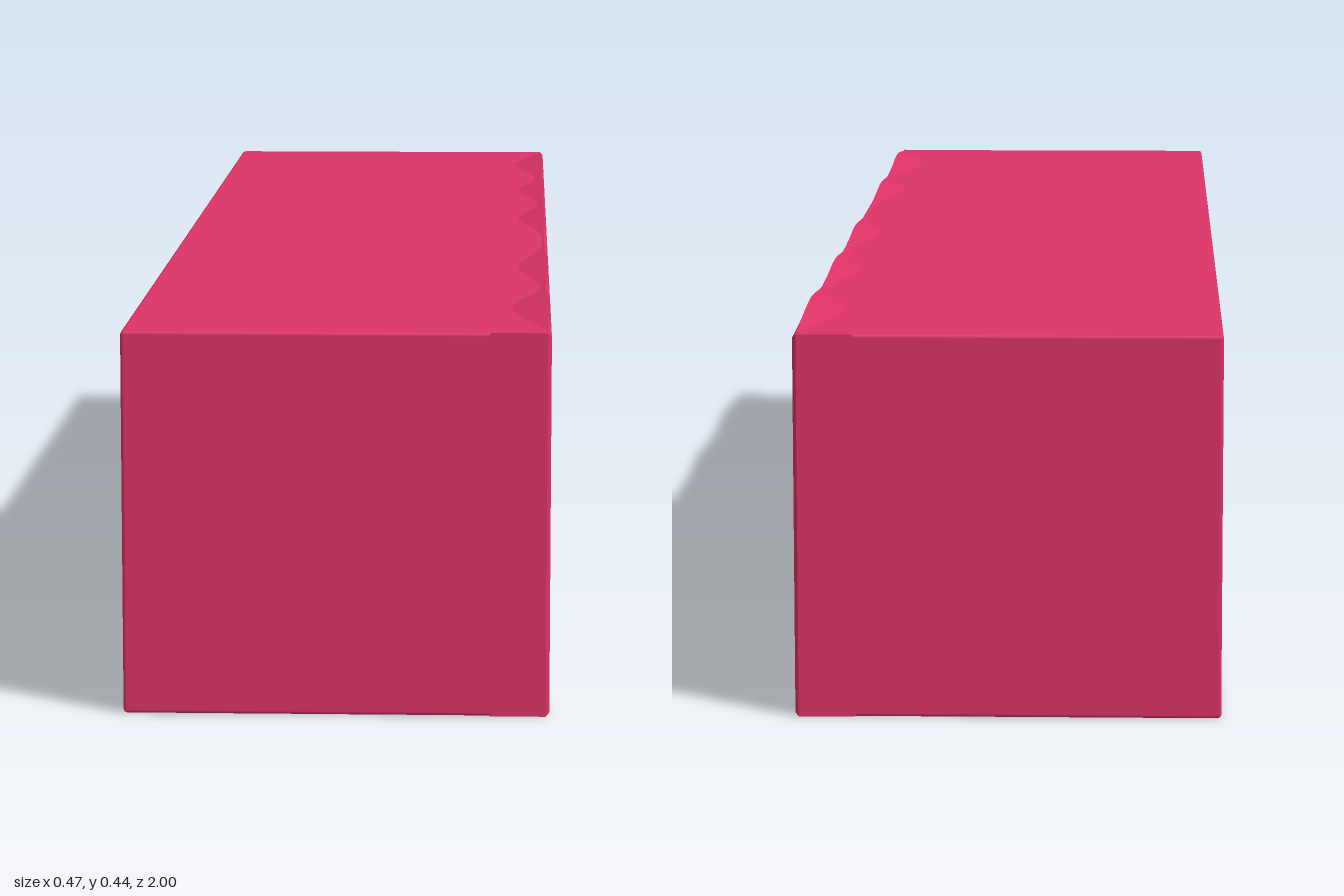
import * as THREE from 'three';
import { RoundedBoxGeometry } from 'three/addons/geometries/RoundedBoxGeometry.js';

const H = 0.428;
const red = new THREE.MeshStandardMaterial({ color: 0xdd3366 });
const tan = new THREE.MeshStandardMaterial({ color: 0xdfa073 });

function add(group, name, geometry, material) {
  const mesh = new THREE.Mesh(geometry, material);
  mesh.name = name;
  group.add(mesh);
  return mesh;
}

// Loop of points as [z, y] pairs
const loop = (pts) => pts.map(([a, b]) => new THREE.Vector2(a, b));

// Frame on the +x side: lower bay open to the floor, upper bay as a hole
function frameGeometry() {
  const shape = new THREE.Shape(loop([
    [-1, 0], [-0.94, 0], [-0.94, 0.212], [0.94, 0.212],
    [0.94, 0], [1, 0], [1, H], [-1, H],
  ]));
  shape.holes.push(new THREE.Path(loop([
    [-0.94, 0.25], [-0.94, 0.387], [0.94, 0.387], [0.94, 0.25],
  ])));
  const b = 0.004;
  const geo = new THREE.ExtrudeGeometry(shape, {
    depth: 0.062, bevelEnabled: true, bevelThickness: b,
    bevelSize: b, bevelOffset: -b, bevelSegments: 1,
  });
  geo.rotateY(Math.PI / 2);
  geo.translate(0.169, 0, 0);
  return geo;
}

// Wavy ridge along the top edge, triangular in section
function ridgeGeometry() {
  const heights = [
    [-0.99, 0], [-0.8, 0.012], [-0.62, 0.003], [-0.43, 0.010], [-0.27, 0.002],
    [-0.09, 0.010], [0.08, 0.002], [0.25, 0.002], [0.43, 0.010], [0.62, 0.002],
    [0.8, 0.012], [0.99, 0],
  ];
  const curve = new THREE.CatmullRomCurve3(
    heights.map(([z, h]) => new THREE.Vector3(0, h, z)));
  const steps = 66, pos = [], idx = [];
  for (let i = 0; i <= steps; i++) {
    const p = curve.getPoint(i / steps);
    const h = Math.max(p.y, 0);
    pos.push(0.231 - 3.5 * h, H - 0.0005, p.z);
    pos.push(0.231, H + h, p.z);
    pos.push(0.235, H - 0.004, p.z);
    if (i === steps) break;
    for (let j = 0; j < 2; j++) {
      const a = i * 3 + j, c = a + 3;
      idx.push(a, c, a + 1, a + 1, c, c + 1);
    }
  }
  const geo = new THREE.BufferGeometry();
  geo.setAttribute('position', new THREE.Float32BufferAttribute(pos, 3));
  geo.setIndex(idx);
  const flat = geo.toNonIndexed();
  flat.computeVertexNormals();
  return flat;
}

export function createModel() {
  const model = new THREE.Group();
  model.name = 'cabinet';

  // Solid body behind the bays
  const body = add(model, 'body', new RoundedBoxGeometry(0.422, H, 2, 1, 0.004), red);
  body.position.set(-0.026, H / 2, 0);

  add(model, 'frame', frameGeometry(), red);

  const ridgeMaterial = red.clone();
  ridgeMaterial.side = THREE.DoubleSide;
  add(model, 'wavyRidge', ridgeGeometry(), ridgeMaterial);

  // Recessed panels
  for (const [name, y0, y1] of [['lowerPanel', 0.002, 0.212], ['upperPanel', 0.25, 0.387]]) {
    const panel = add(model, name, new THREE.BoxGeometry(0.01, y1 - y0, 1.88), tan);
    panel.position.set(0.183, (y0 + y1) / 2, 0);
  }
  return model;
}
